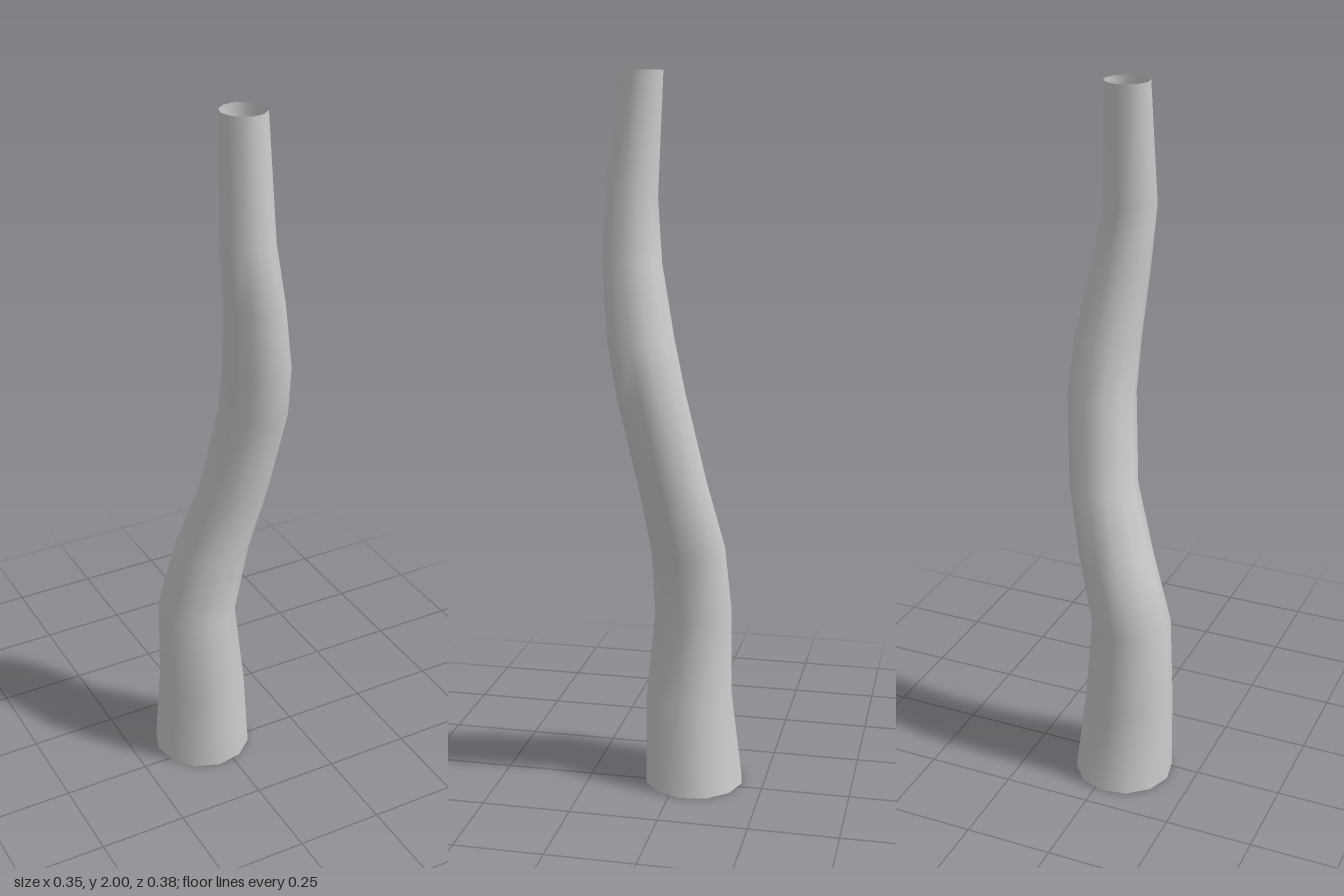
import * as THREE from 'three';

// Horizontal rings of the trunk: [y, centre x, centre z, radius]
const RINGS = [
  [0, -0.035, -0.047, 0.142],
  [0.25, -0.043, -0.03, 0.126],
  [0.5, -0.053, -0.04, 0.112],
  [0.7, -0.005, -0.035, 0.105],
  [0.9, 0.048, -0.001, 0.096],
  [1.15, 0.075, 0.052, 0.095],
  [1.3, 0.069, 0.081, 0.092],
  [1.5, 0.043, 0.109, 0.081],
  [1.67, 0.019, 0.116, 0.072],
  [2, 0.018, 0.09, 0.061],
];
const SIDES = 12;
const PHASE = THREE.MathUtils.degToRad(5);

// Open, smooth-shaded skin joining the rings from bottom to top
function ringSkin(rings) {
  const positions = [];
  const indices = [];
  for (const [y, cx, cz, r] of rings) {
    for (let i = 0; i < SIDES; i++) {
      const a = PHASE + (i / SIDES) * Math.PI * 2;
      positions.push(cx + r * Math.cos(a), y, cz + r * Math.sin(a));
    }
  }
  for (let j = 0; j < rings.length - 1; j++) {
    for (let i = 0; i < SIDES; i++) {
      const a = j * SIDES + i;
      const b = j * SIDES + ((i + 1) % SIDES);
      indices.push(a, a + SIDES, b, b, a + SIDES, b + SIDES);
    }
  }
  const geometry = new THREE.BufferGeometry();
  geometry.setAttribute('position', new THREE.Float32BufferAttribute(positions, 3));
  geometry.setIndex(indices);
  geometry.computeVertexNormals();
  return geometry;
}

export function createModel() {
  const group = new THREE.Group();
  group.name = 'bentTrunk';

  // Hollow tapering trunk, open at both ends
  const material = new THREE.MeshStandardMaterial({ color: 0xcccccc, side: THREE.DoubleSide });
  const trunk = new THREE.Mesh(ringSkin(RINGS), material);
  trunk.name = 'trunk';
  group.add(trunk);

  return group;
}
